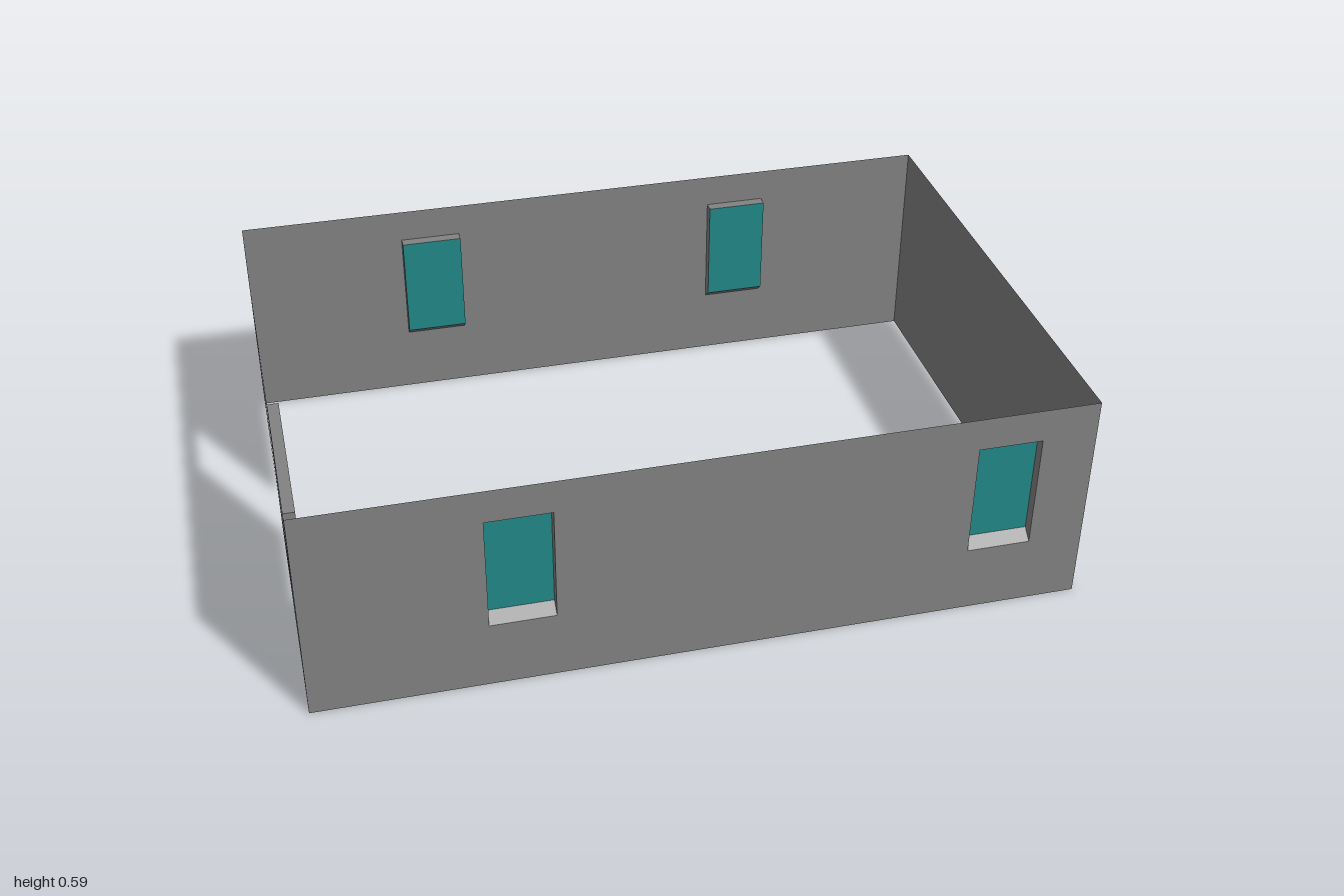
import * as THREE from 'three';

const grey = new THREE.MeshStandardMaterial({ color: 0x828282, side: THREE.DoubleSide, flatShading: true });
const teal = new THREE.MeshStandardMaterial({ color: 0x218888, side: THREE.DoubleSide, flatShading: true });

const HEIGHT = 0.594, HALF_X = 1, HALF_Z = 0.688;
const SILL = 0.187, GLASS_BOTTOM = 0.212, HEAD = 0.503, DEPTH = 0.03;

function part(name, geometry, material) {
  const mesh = new THREE.Mesh(geometry, material);
  mesh.name = name;
  return mesh;
}

// Surface made of four-cornered faces, corners counter-clockwise
function quads(faces) {
  const pos = [];
  for (const [a, b, c, d] of faces) pos.push(...a, ...b, ...c, ...a, ...c, ...d);
  const g = new THREE.BufferGeometry();
  g.setAttribute('position', new THREE.Float32BufferAttribute(pos, 3));
  g.computeVertexNormals();
  return g;
}

function rectangle(u0, u1, y0, y1) {
  return quads([[[u0, y0, -DEPTH], [u1, y0, -DEPTH], [u1, y1, -DEPTH], [u0, y1, -DEPTH]]]);
}

// Recess around a window: straight jambs and head, sloping sill
function surround(u0, u1) {
  const outer = [[u0, SILL, 0], [u1, SILL, 0], [u1, HEAD, 0], [u0, HEAD, 0]];
  const inner = [[u0, GLASS_BOTTOM, -DEPTH], [u1, GLASS_BOTTOM, -DEPTH], [u1, HEAD, -DEPTH], [u0, HEAD, -DEPTH]];
  return quads(outer.map((p, i) => {
    const j = (i + 1) % 4;
    return [p, outer[j], inner[j], inner[i]];
  }));
}

// Vertical ribs standing out from the glass plane, closed on top and below
function ribs(u0, u1, y0, y1, count) {
  const faces = [], pitch = (u1 - u0) / count, back = -DEPTH, front = -DEPTH + 0.018;
  for (let i = 0; i < count; i++) {
    const a = u0 + i * pitch, b = a + pitch * 0.2, c = a + pitch * 0.8, d = a + pitch;
    const line = [[a, back], [b, back], [b, front], [c, front], [c, back], [d, back]];
    for (let k = 0; k < 5; k++) {
      const [p, z] = line[k], [q, w] = line[k + 1];
      faces.push([[p, y0, z], [q, y0, w], [q, y1, w], [p, y1, z]]);
    }
    faces.push([[b, y1, front], [c, y1, front], [c, y1, back], [b, y1, back]]);
    faces.push([[b, y0, back], [c, y0, back], [c, y0, front], [b, y0, front]]);
  }
  return quads(faces);
}

function windowUnit(u0, u1, ribbed) {
  const group = new THREE.Group();
  group.name = ribbed ? 'ribbedWindow' : 'window';
  const split = ribbed ? 0.4 : GLASS_BOTTOM;
  group.add(part('windowSurround', surround(u0, u1), grey));
  group.add(part('windowGlass', rectangle(u0, u1, split, HEAD), teal));
  if (ribbed) group.add(part('windowRibs', ribs(u0, u1, GLASS_BOTTOM, split, 7), teal));
  return group;
}

// Thin wall drawn facing +z, with window holes and an optional doorway
function wall(name, half, windows, door) {
  const group = new THREE.Group();
  group.name = name;
  const outline = [[-half, 0]];
  if (door) outline.push([door[0], 0], [door[0], HEAD], [door[1], HEAD], [door[1], 0]);
  outline.push([half, 0], [half, HEIGHT], [-half, HEIGHT]);
  const shape = new THREE.Shape(outline.map(([u, y]) => new THREE.Vector2(u, y)));
  for (const [u0, u1, ribbed] of windows) {
    shape.holes.push(new THREE.Path([
      new THREE.Vector2(u0, SILL), new THREE.Vector2(u0, HEAD),
      new THREE.Vector2(u1, HEAD), new THREE.Vector2(u1, SILL),
    ]));
    group.add(windowUnit(u0, u1, ribbed));
  }
  group.add(part(name + 'Panel', new THREE.ShapeGeometry(shape), grey));
  return group;
}

export function createModel() {
  const model = new THREE.Group();
  model.name = 'roomShell';

  const front = wall('frontWall', HALF_X, [[-0.547, -0.379], [0.689, 0.856]]);
  front.position.z = HALF_Z;

  const back = wall('backWall', HALF_X, [[0.384, 0.552], [-0.536, -0.369]]);
  back.rotation.y = Math.PI;
  back.position.z = -HALF_Z;

  // Plain end wall
  const left = wall('leftWall', HALF_Z, []);
  left.rotation.y = Math.PI / 2;
  left.position.x = HALF_X;

  // End wall with doorway and wide ribbed window
  const right = wall('rightWall', HALF_Z, [[0.075, 0.543, true]], [-0.237, -0.042]);
  right.rotation.y = -Math.PI / 2;
  right.position.x = -HALF_X;

  model.add(front, back, left, right);
  return model;
}
